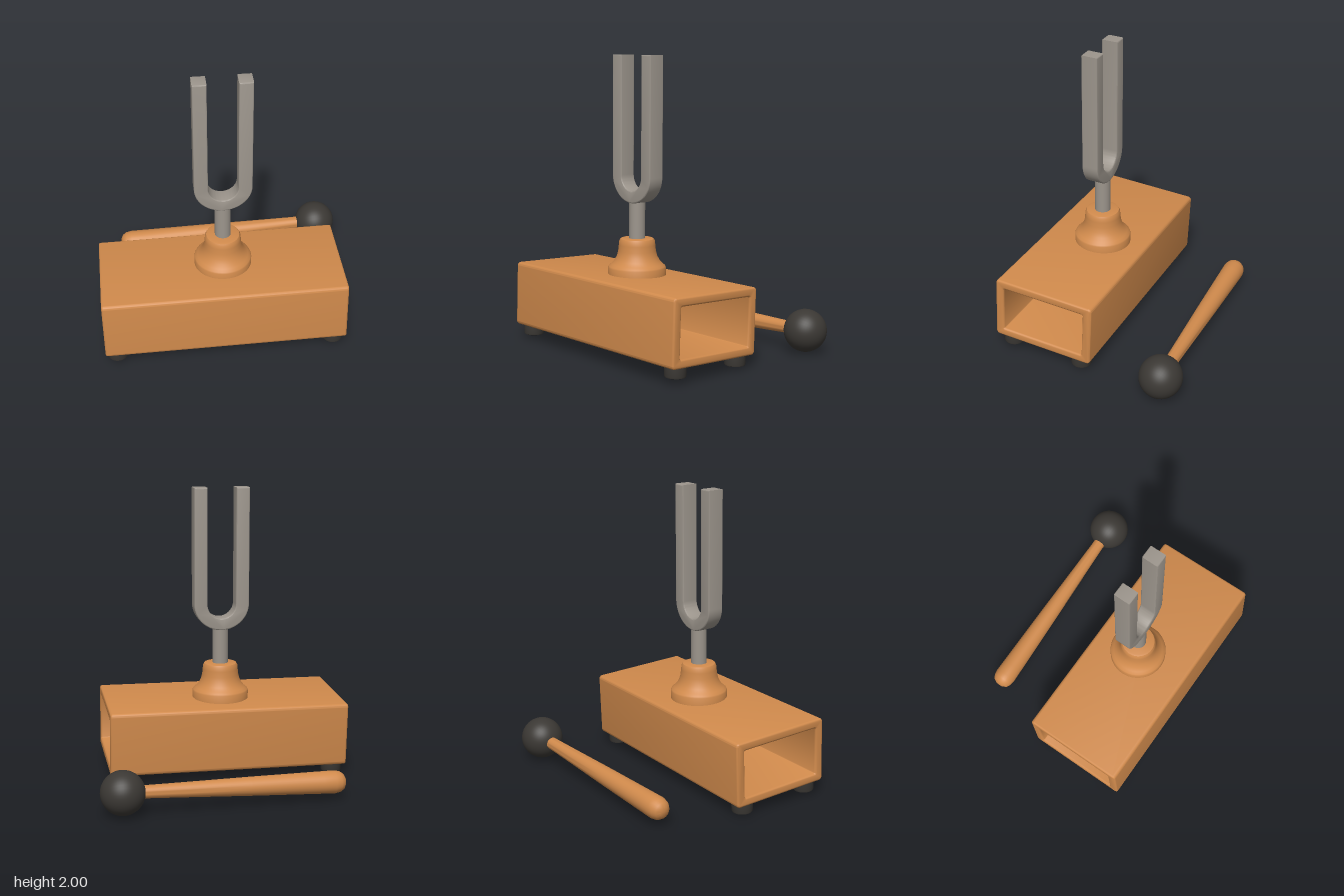
import * as THREE from 'three';
import { toCreasedNormals } from 'three/addons/utils/BufferGeometryUtils.js';

const mat = (name, color) => Object.assign(new THREE.MeshStandardMaterial({ color }), { name });

function add(parent, name, geometry, material, x = 0, y = 0, z = 0) {
  const mesh = new THREE.Mesh(geometry, material);
  mesh.name = name;
  mesh.position.set(x, y, z);
  parent.add(mesh);
  return mesh;
}

function group(parent, name) {
  const g = new THREE.Group();
  g.name = name;
  parent.add(g);
  return g;
}

// Solid of revolution from [radius, height] pairs, listed bottom to top
const turned = (points, sides = 48) =>
  toCreasedNormals(new THREE.LatheGeometry(points.map(([r, y]) => new THREE.Vector2(r, y)), sides), 0.7);

// Bevelled extrusion, centred on its depth, keeping the outline's size
function extruded(shape, depth, bevel, curveSegments) {
  const geo = new THREE.ExtrudeGeometry(shape, {
    depth: depth - 2 * bevel, curveSegments, bevelSize: bevel, bevelThickness: bevel,
    bevelOffset: -bevel, bevelSegments: 3,
  });
  geo.translate(0, 0, bevel - depth / 2);
  return toCreasedNormals(geo, 0.6);
}

function roundedRect(path, w, h, r) {
  const x = w / 2, y = h / 2;
  path.absarc(x - r, y - r, r, 0, Math.PI / 2);
  path.absarc(-x + r, y - r, r, Math.PI / 2, Math.PI);
  path.absarc(-x + r, -y + r, r, Math.PI, Math.PI * 1.5);
  path.absarc(x - r, -y + r, r, Math.PI * 1.5, Math.PI * 2);
  path.closePath();
  return path;
}

export function createModel() {
  const wood = mat('orange wood', 0xd08a4c);
  const steel = mat('grey steel', 0x9c958c);
  const rubber = mat('dark rubber', 0x3b3834);
  const model = new THREE.Group();
  model.name = 'tuningForkOnResonanceBox';

  // Resonance box: open wooden tube, slightly turned and tilted
  const box = group(model, 'resonanceBox');
  box.position.set(-0.085, 0.314, 0.252);
  box.rotation.set(-0.045, -0.08, 0.006);
  const section = roundedRect(new THREE.Shape(), 0.715, 0.444, 0.025);
  section.holes.push(roundedRect(new THREE.Path(), 0.59, 0.325, 0.008));
  add(box, 'boxBody', extruded(section, 1.655, 0.014, 5).rotateY(Math.PI / 2), wood);

  // Four rubber feet
  const foot = turned([[0, -0.07], [0.058, -0.07], [0.067, -0.066], [0.07, -0.057], [0.07, 0.005], [0, 0.005]], 32);
  for (const x of [-0.745, 0.745])
    for (const z of [-0.26, 0.26]) add(box, 'foot', foot, rubber, x, -0.222, z);

  // Fork assembly, origin on the box lid
  const fork = group(model, 'tuningFork');
  fork.position.set(-0.065, 0.53, 0.21);
  fork.rotation.set(-0.01, -0.08, 0);

  // Bell-shaped wooden holder
  add(fork, 'holder', turned([
    [0, -0.015], [0.195, -0.015], [0.195, 0.052], [0.19, 0.062], [0.172, 0.076], [0.152, 0.1],
    [0.136, 0.13], [0.127, 0.165], [0.123, 0.205], [0.12, 0.232], [0.112, 0.246], [0.1, 0.25], [0, 0.25],
  ]), wood);
  add(fork, 'stem', new THREE.CylinderGeometry(0.054, 0.054, 0.34, 32), steel, 0, 0.35, 0);

  // U-shaped prongs
  const outer = 0.192, inner = 0.1, bend = 0.67, top = 1.47;
  const u = new THREE.Shape();
  u.moveTo(-outer, top);
  u.lineTo(-outer, bend);
  u.absellipse(0, bend, outer, 0.182, Math.PI, Math.PI * 2, false);
  u.lineTo(outer, top);
  u.lineTo(inner, top);
  u.lineTo(inner, bend);
  u.absarc(0, bend, inner, 0, Math.PI, true);
  u.lineTo(-inner, top);
  u.closePath();
  add(fork, 'prongs', extruded(u, 0.115, 0.008, 20), steel);

  // Mallet lying behind the box: tapered handle and rubber ball
  const mallet = group(model, 'mallet');
  const butt = new THREE.Vector3(-0.69, 0.114, -0.61);
  const head = new THREE.Vector3(0.79, 0.155, -0.54);
  mallet.position.copy(butt);
  const axis = head.clone().sub(butt);
  const length = axis.length();
  mallet.quaternion.setFromUnitVectors(new THREE.Vector3(0, 1, 0), axis.normalize());
  add(mallet, 'handle', turned([
    [0, 0], [0.03, 0.004], [0.054, 0.018], [0.069, 0.042], [0.076, 0.08], [0.074, 0.16],
    [0.062, 0.65], [0.05, 1.05], [0.043, 1.3], [0.042, length],
  ], 32), wood);
  add(mallet, 'ball', new THREE.SphereGeometry(0.145, 40, 28), rubber, 0, length, 0);

  return model;
}
